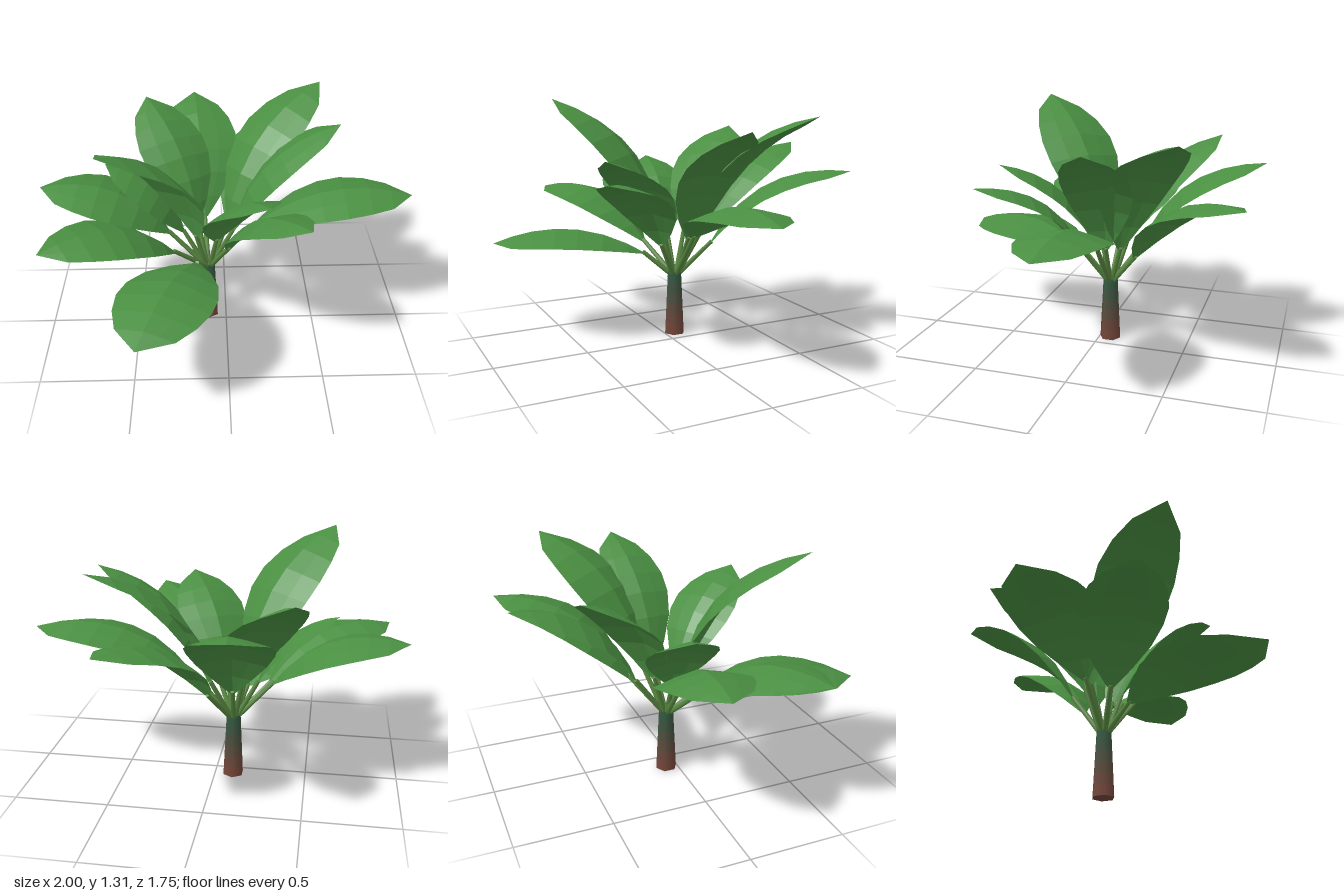
import * as THREE from 'three';

const CROWN = new THREE.Vector3(-0.1, 0.34, -0.06);
const UP = new THREE.Vector3(0, 1, 0);

// tip x, y, z | stem reach, stem end height | blade half width | arch
const LEAVES = [
  [1.0, 0.80, -0.03, 0.24, 0.60, 0.22, 0.145],
  [0.60, 1.18, -0.12, 0.14, 0.57, 0.18, 0.16],
  [0.54, 1.24, -0.55, 0.14, 0.57, 0.20, 0.175],
  [0.43, 0.94, -0.845, 0.20, 0.53, 0.20, 0.17],
  [-0.17, 1.05, -0.875, 0.17, 0.56, 0.215, 0.17],
  [-0.44, 1.14, -0.60, 0.10, 0.58, 0.20, 0.155],
  [-1.0, 0.83, -0.12, 0.21, 0.56, 0.23, 0.175],
  [-0.64, 0.96, -0.13, 0.13, 0.56, 0.18, 0.155],
  [-0.93, 0.77, 0.43, 0.21, 0.51, 0.21, 0.17],
  [-0.60, 1.31, 0.47, 0.09, 0.58, 0.22, 0.165],
  [-0.44, 0.54, 0.875, 0.17, 0.47, 0.25, 0.13],
  [0.20, 1.03, 0.46, 0.09, 0.56, 0.19, 0.155],
  [0.39, 0.94, 0.525, 0.17, 0.54, 0.18, 0.165],
];

// blade outline: position along the leaf, relative width
const OUTLINE = [[0, 0.08], [0.12, 0.46], [0.28, 0.81], [0.45, 0.98], [0.6, 1],
  [0.75, 0.87], [0.88, 0.62], [1, 0]];

const leafMaterial = new THREE.MeshStandardMaterial({ color: 0x4a8f42, flatShading: true, side: THREE.DoubleSide });
const stemMaterial = new THREE.MeshStandardMaterial({ color: 0x5a8a42 });

function bladeGeometry(start, tip, side, halfWidth, arch) {
  const chord = tip.clone().sub(start);
  const lift = side.clone().cross(chord).multiplyScalar(2 * arch);
  const control = start.clone().add(tip).multiplyScalar(0.5).add(lift);
  const midrib = new THREE.QuadraticBezierCurve3(start, control, tip);
  const rows = OUTLINE.length - 1;
  const geometry = new THREE.PlaneGeometry(2, 1, 4, rows);
  const pos = geometry.attributes.position;
  for (let i = 0; i < pos.count; i++) {
    const u = pos.getX(i);
    const [t, w] = OUTLINE[Math.round((pos.getY(i) + 0.5) * rows)];
    const normal = side.clone().cross(midrib.getTangent(t));
    // both halves fold down from the midrib
    const p = midrib.getPoint(t)
      .addScaledVector(side, u * w * halfWidth)
      .addScaledVector(normal, -Math.pow(Math.abs(u), 1.2) * w * halfWidth * 0.24);
    pos.setXYZ(i, p.x, p.y, p.z);
  }
  geometry.computeVertexNormals();
  return geometry;
}

function makeLeaf([x, y, z, reach, stemTop, halfWidth, arch]) {
  const leaf = new THREE.Group();
  leaf.name = 'leaf';
  const tip = new THREE.Vector3(x, y, z);
  const outward = new THREE.Vector3(x - CROWN.x, 0, z - CROWN.z).normalize();
  const side = outward.clone().cross(UP);
  const start = CROWN.clone().addScaledVector(outward, reach).setY(stemTop);

  const blade = new THREE.Mesh(bladeGeometry(start, tip, side, halfWidth, arch), leafMaterial);
  blade.name = 'leafBlade';

  // slim stem from the crown to just inside the blade
  const root = CROWN.clone().addScaledVector(outward, 0.015);
  const run = start.clone().sub(root);
  const stem = new THREE.Mesh(new THREE.CylinderGeometry(0.012, 0.016, run.length() + 0.02, 5), stemMaterial);
  stem.position.copy(root).addScaledVector(run, 0.5);
  stem.quaternion.setFromUnitVectors(UP, run.normalize());
  stem.name = 'leafStem';
  leaf.add(blade, stem);
  return leaf;
}

export function createModel() {
  const model = new THREE.Group();
  model.name = 'plant';

  // tapered six-sided trunk, shading from brown at the foot to dark green
  const trunk = new THREE.Group();
  trunk.name = 'trunk';
  const colors = [0x74463a, 0x6a483b, 0x5c4c3d, 0x4c503f, 0x3f5441, 0x345a42];
  const height = 0.36, step = height / colors.length;
  const radius = (h) => THREE.MathUtils.lerp(0.059, 0.041, h / height);
  colors.forEach((color, i) => {
    const section = new THREE.Mesh(
      new THREE.CylinderGeometry(radius((i + 1) * step), radius(i * step), step, 6, 1, i > 0 && i < colors.length - 1),
      new THREE.MeshStandardMaterial({ color }));
    section.position.set(CROWN.x, (i + 0.5) * step, CROWN.z);
    section.name = 'trunkSection';
    trunk.add(section);
  });
  model.add(trunk);

  LEAVES.forEach((spec) => model.add(makeLeaf(spec)));
  return model;
}
